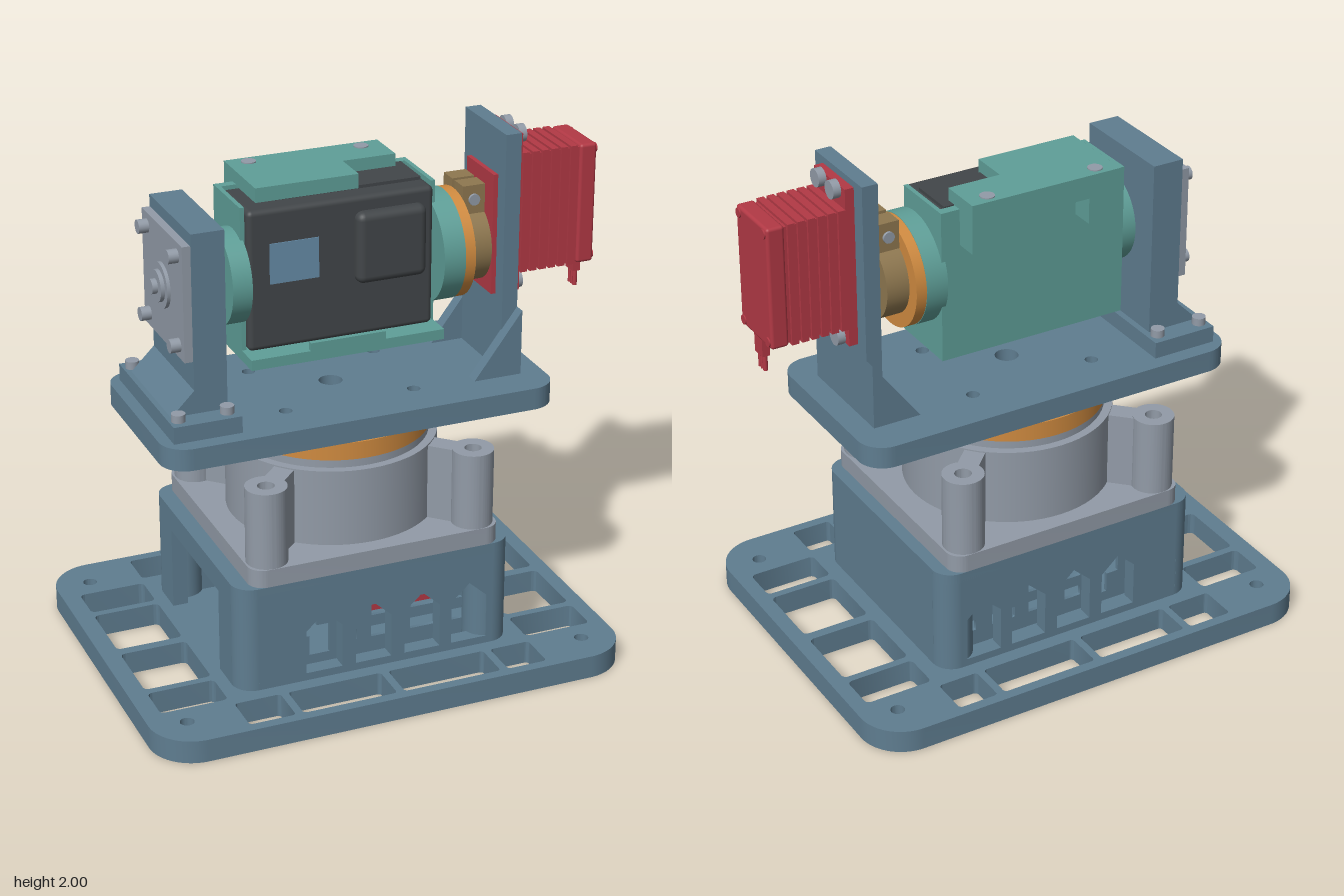
import * as THREE from 'three';
import { toCreasedNormals } from 'three/addons/utils/BufferGeometryUtils.js';
import { RoundedBoxGeometry } from 'three/addons/geometries/RoundedBoxGeometry.js';

const mat = (name, color) => Object.assign(new THREE.MeshStandardMaterial({ color }), { name });

export function createModel() {
  const blue = mat('slate blue', 0x5f7d90), grey = mat('metal grey', 0x929ba7);
  const red = mat('servo red', 0xb23945), orange = mat('orange', 0xd08b40);
  const green = mat('teal green', 0x5f9f98), black = mat('camera black', 0x424649);
  const gold = mat('brass', 0x8f7850), screen = mat('screen blue', 0x668ca8);
  const root = new THREE.Group();
  const CX = -0.045; // pan axis

  // ---- helpers ----
  const add = (name, geo, m) => {
    const mesh = new THREE.Mesh(geo, m);
    mesh.name = name;
    root.add(mesh);
    return mesh;
  };
  // box given by its extents
  const box = (name, m, x0, x1, y0, y1, z0, z1) =>
    add(name, new THREE.BoxGeometry(x1 - x0, y1 - y0, z1 - z0), m)
      .position.set((x0 + x1) / 2, (y0 + y1) / 2, (z0 + z1) / 2);
  const rbox = (name, m, x0, x1, y0, y1, z0, z1, r) =>
    add(name, new RoundedBoxGeometry(x1 - x0, y1 - y0, z1 - z0, 3, r), m)
      .position.set((x0 + x1) / 2, (y0 + y1) / 2, (z0 + z1) / 2);
  // upright cylinder
  const cylY = (name, m, r, x, z, y0, y1, seg = 48) =>
    add(name, new THREE.CylinderGeometry(r, r, y1 - y0, seg), m).position.set(x, (y0 + y1) / 2, z);
  // cylinder along x
  const cylX = (name, m, r, x0, x1, y, z, seg = 48) =>
    add(name, new THREE.CylinderGeometry(r, r, x1 - x0, seg).rotateZ(Math.PI / 2), m)
      .position.set((x0 + x1) / 2, y, z);
  const rr = (p, x0, x1, y0, y1, r) => {
    p.moveTo(x0 + r, y0);
    p.lineTo(x1 - r, y0); p.absarc(x1 - r, y0 + r, r, -Math.PI / 2, 0);
    p.lineTo(x1, y1 - r); p.absarc(x1 - r, y1 - r, r, 0, Math.PI / 2);
    p.lineTo(x0 + r, y1); p.absarc(x0 + r, y1 - r, r, Math.PI / 2, Math.PI);
    p.lineTo(x0, y0 + r); p.absarc(x0 + r, y0 + r, r, Math.PI, Math.PI * 1.5);
    return p;
  };
  const circle = (x, y, r) => new THREE.Path().absarc(x, y, r, 0, Math.PI * 2);
  const rect = (x0, x1, y0, y1, r = 0.015) => rr(new THREE.Path(), x0, x1, y0, y1, r);
  const poly = pts => pts.map(p => new THREE.Vector2(...p));
  const extrude = (shape, depth) => toCreasedNormals(
    new THREE.ExtrudeGeometry(shape, { depth, bevelEnabled: false, curveSegments: 12 }), 0.5);
  // horizontal slab from a plan outline
  const slab = (name, m, shape, y0, y1) =>
    add(name, extrude(shape, y1 - y0).rotateX(-Math.PI / 2), m).position.y = y0;
  // upright slab from a front outline
  const wall = (name, m, shape, z0, z1) => add(name, extrude(shape, z1 - z0), m).position.z = z0;

  // ---- base plate with lightening windows ----
  const base = rr(new THREE.Shape(), -0.98, 0.89, -0.715, 0.715, 0.17);
  for (const s of [-1, 1]) {
    for (const x of [-0.84, 0.75]) base.holes.push(circle(x, s * 0.57, 0.027));
    for (const [a, b] of [[-0.64, -0.46], [-0.43, -0.06], [-0.03, 0.36], [0.39, 0.55]])
      base.holes.push(s > 0 ? rect(a, b, 0.52, 0.675) : rect(a, b, -0.675, -0.52));
  }
  for (const [a, b] of [[-0.91, -0.65], [0.56, 0.83]])
    for (const [c, d] of [[-0.48, -0.33], [-0.3, -0.02], [0.02, 0.3], [0.33, 0.48]])
      base.holes.push(rect(a, b, c, d, 0.02));
  slab('basePlate', blue, base, 0, 0.09);

  // ---- electronics housing: vented walls, open on the -x end ----
  const vents = () => {
    const w = new THREE.Shape(poly([[-0.52, 0.09], [0.42, 0.09], [0.42, 0.48], [-0.52, 0.48]]));
    for (const x of [-0.455, -0.262, -0.065, 0.132, 0.325])
      w.holes.push(new THREE.Path(poly([[x - 0.072, 0.12], [x + 0.072, 0.12], [x + 0.072, 0.295],
        [x, 0.36], [x - 0.072, 0.295]])));
    return w;
  };
  const grille = () => {
    const w = new THREE.Shape(poly([[-0.54, 0.09], [0.44, 0.09], [0.44, 0.48], [-0.54, 0.48]]));
    for (const [a, b] of [[-0.16, -0.09], [-0.03, 0.07], [0.13, 0.23], [0.3, 0.36]])
      for (const y of [0.155, 0.245]) w.holes.push(rect(a, b, y, y + 0.045, 0.003));
    w.holes.push(new THREE.Path(poly([[-0.28, 0.13], [-0.2, 0.13], [-0.2, 0.25], [-0.25, 0.25],
      [-0.25, 0.28], [-0.33, 0.28], [-0.33, 0.21], [-0.28, 0.21]])));
    return w;
  };
  wall('frontVentWall', blue, vents(), 0.405, 0.465);
  wall('backVentWall', blue, vents(), -0.465, -0.405);
  wall('frontGrille', blue, grille(), 0.345, 0.36);
  wall('backGrille', blue, grille(), -0.36, -0.345);
  box('housingEndWall', blue, 0.44, 0.5, 0.09, 0.5, -0.39, 0.39);
  for (const s of [-1, 1]) {
    for (const x of [-0.52, 0.42]) cylY('housingCorner', blue, 0.08, x, s * 0.385, 0.09, 0.5, 32);
    box('housingEndPost', blue, -0.6, -0.54, 0.09, 0.5, s > 0 ? 0.26 : -0.39, s > 0 ? 0.39 : -0.26);
  }
  box('housingLintel', blue, -0.6, -0.54, 0.42, 0.5, -0.27, 0.27);
  slab('housingTop', blue, rr(new THREE.Shape(), -0.6, 0.5, -0.465, 0.465, 0.08), 0.47, 0.51);
  box('panServoBody', red, -0.16, 0.36, 0.12, 0.46, -0.12, 0.12);
  for (const y of [0.155, 0.18, 0.245, 0.27]) box('panServoFin', red, -0.17, 0.37, y, y + 0.018, -0.13, 0.13);

  // ---- pan bearing ----
  slab('bearingFlange', grey, rr(new THREE.Shape(), -0.54, 0.45, -0.465, 0.465, 0.06), 0.51, 0.58);
  cylY('bearingDrum', grey, 0.4, CX, 0, 0.58, 0.88, 64);
  cylY('bearingCollar', grey, 0.368, CX, 0, 0.88, 0.912, 64);
  for (const sx of [-1, 1]) for (const sz of [-1, 1]) {
    const x = CX + sx * 0.41, z = sz * 0.385;
    const post = rr(new THREE.Shape(), -0.078, 0.078, -0.078, 0.078, 0.077);
    post.holes.push(circle(0, 0, 0.032));
    slab('bearingPost', grey, post, 0.58, 0.88);
    root.children.at(-1).position.set(x, 0.58, z);
    const web = add('bearingWeb', new THREE.BoxGeometry(0.18, 0.3, 0.08), grey);
    web.position.set(x - sx * 0.11, 0.725, z - sz * 0.11);
    web.rotation.y = sx * sz * -Math.PI / 4;
  }
  cylY('panDisc', orange, 0.373, CX, 0, 0.912, 0.98, 64);

  // ---- turntable plate ----
  const deck = rr(new THREE.Shape(), -0.815, 0.725, -0.365, 0.365, 0.1);
  deck.holes.push(circle(CX, 0, 0.045));
  for (const x of [-0.3, 0.21]) for (const z of [-0.19, 0.19]) deck.holes.push(circle(x, z, 0.025));
  slab('turntablePlate', blue, deck, 0.98, 1.065);

  // ---- bearing tower on the -x side ----
  box('bearingTower', blue, -0.66, -0.535, 1.065, 1.815, -0.22, 0.22);
  box('towerFoot', blue, -0.77, -0.51, 1.065, 1.13, -0.305, 0.305);
  wall('towerFillet', blue, new THREE.Shape(poly([[-0.75, 1.13], [-0.65, 1.13], [-0.65, 1.23]])), -0.22, 0.22);
  for (const x of [-0.735, -0.55]) for (const z of [-0.255, 0.255])
    cylY('footScrew', grey, 0.026, x, z, 1.13, 1.16, 20);
  box('bearingCover', grey, -0.692, -0.66, 1.33, 1.77, -0.215, 0.215);
  for (const y of [1.38, 1.72]) for (const z of [-0.16, 0.16])
    cylX('coverScrew', grey, 0.026, -0.73, -0.69, y, z, 20);
  cylX('coverBoss', grey, 0.085, -0.705, -0.69, 1.55, 0);
  cylX('coverHub', grey, 0.06, -0.72, -0.7, 1.55, 0);
  cylX('axleScrew', grey, 0.028, -0.74, -0.715, 1.55, 0, 20);

  // ---- servo tower on the +x side ----
  box('servoTower', blue, 0.573, 0.635, 1.065, 2, -0.175, 0.175);
  for (const z of [-0.22, 0.17])
    wall('towerGusset', blue, new THREE.Shape(poly([[0.445, 1.065], [0.635, 1.065], [0.635, 1.32]])), z, z + 0.05);

  // ---- tilt servo ----
  box('servoFlange', red, 0.635, 0.67, 1.36, 1.975, -0.115, 0.115);
  box('servoCore', red, 0.64, 0.96, 1.44, 1.89, -0.11, 0.11);
  for (let i = 0; i < 6; i++) {
    const x = 0.672 + i * 0.039;
    box('servoFin', red, x, x + 0.028, 1.43, 1.9, -0.12, 0.12);
  }
  rbox('servoCap', red, 0.906, 0.975, 1.43, 1.9, -0.12, 0.12, 0.012);
  for (const y of [1.455, 1.875]) for (const z of [-0.095, 0.095])
    cylX('capScrew', red, 0.018, 0.97, 0.98, y, z, 16);
  box('cableBoot', red, 0.94, 0.97, 1.36, 1.44, -0.03, 0.03);
  for (const z of [-0.018, 0, 0.018])
    cylY('cableWire', red, 0.009, 0.955, z, 1.3, 1.37, 12);
  for (const y of [1.38, 1.957]) for (const z of [-0.055, 0.055])
    cylX('flangeScrew', grey, 0.034, 0.67, 0.7, y, z, 24);
  box('servoInnerCase', red, 0.555, 0.575, 1.36, 1.83, -0.115, 0.115);
  cylX('servoShaft', red, 0.055, 0.53, 0.56, 1.55, 0, 24);

  // ---- tilt axis couplings ----
  cylX('axle', green, 0.075, -0.54, -0.48, 1.55, 0);
  cylX('leftHub', green, 0.177, -0.49, -0.415, 1.55, 0);
  cylX('rightHub', green, 0.21, 0.32, 0.405, 1.55, 0, 64);
  cylX('couplingDisc', orange, 0.208, 0.405, 0.446, 1.55, 0, 64);
  cylX('clampCollar', gold, 0.155, 0.446, 0.535, 1.55, 0);
  for (const s of [-1, 1]) box('clampEar', gold, 0.446, 0.535, 1.66, 1.79, s > 0 ? 0.01 : -0.085, s > 0 ? 0.085 : -0.01);
  const bolt = add('clampBolt', new THREE.CylinderGeometry(0.022, 0.022, 0.19, 20).rotateX(Math.PI / 2), grey);
  bolt.position.set(0.49, 1.735, 0);

  // ---- camera cradle ----
  box('cradleBack', green, -0.425, 0.335, 1.24, 1.83, -0.19, -0.155);
  box('cradleFloor', green, -0.425, 0.335, 1.24, 1.28, -0.19, 0.18);
  box('cradleLip', green, -0.195, 0.1, 1.24, 1.31, 0.16, 0.18);
  box('cradleLeftEnd', green, -0.425, -0.408, 1.24, 1.83, -0.19, 0.08);
  box('cradleRightEnd', green, 0.318, 0.335, 1.24, 1.83, -0.19, 0.08);
  // L-shaped top strap (plan outline, second value is -z)
  slab('topStrap', green, new THREE.Shape(poly([[-0.35, -0.04], [0.05, -0.04], [0.05, 0.11],
    [0.26, 0.11], [0.26, 0.28], [-0.35, 0.28]])), 1.825, 1.88);
  box('strapRear', green, -0.35, 0.26, 1.79, 1.83, -0.28, -0.18);
  for (const [a, b] of [[-0.35, -0.22], [0.13, 0.26]]) box('strapBlock', green, a, b, 1.69, 1.83, -0.28, -0.18);
  for (const x of [-0.27, 0.175]) cylY('strapScrew', grey, 0.028, x, -0.235, 1.875, 1.884, 20);

  // ---- camera ----
  rbox('cameraBody', black, -0.408, 0.318, 1.28, 1.82, -0.155, 0.11, 0.02);
  box('cameraTop', black, -0.27, 0.3, 1.8, 1.832, -0.15, 0.03);
  rbox('cameraGrip', black, 0.005, 0.28, 1.49, 1.765, 0.06, 0.15, 0.03);
  box('cameraScreen', screen, -0.325, -0.135, 1.535, 1.69, 0.108, 0.114);

  return root;
}
